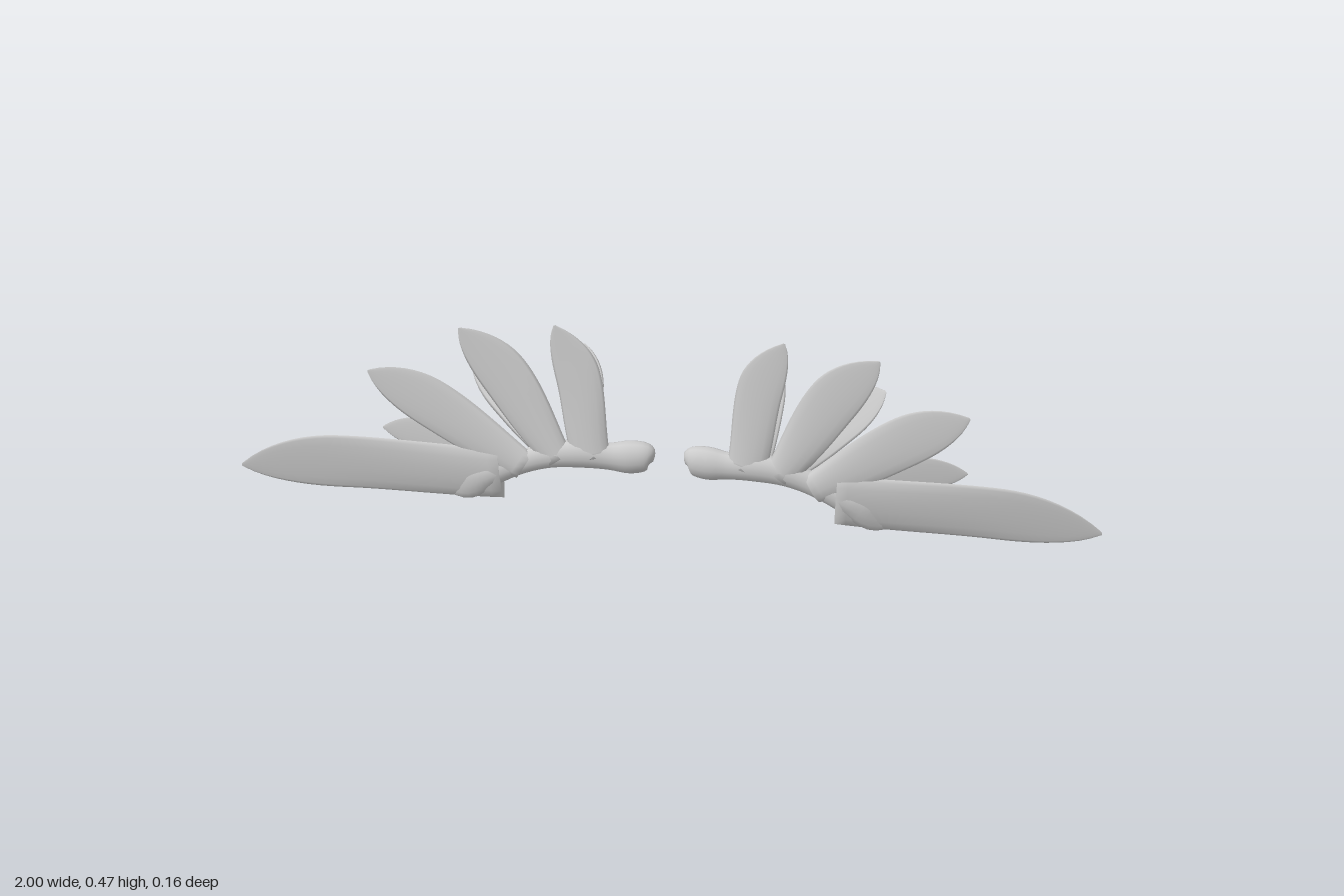
import * as THREE from 'three';

const material = new THREE.MeshStandardMaterial({ color: 0xcccccc });

// Lofts lens sections. section(t) gives centre x, y, half-width vector x, y and half thickness;
// depth(x, y) gives the surface the part lies on, side mirrors it.
function loft(name, side, section, depth, rings = 24, sides = 14) {
  const point = (x, y) => new THREE.Vector3(side * x, y, depth(x, y));
  const centre = (t) => {
    const [x, y] = section(THREE.MathUtils.clamp(t, 0, 1));
    return point(x, y);
  };
  const pos = [], index = [];
  for (let i = 0; i <= rings; i++) {
    const t = i / rings;
    const [x, y, wx, wy, thick] = section(t);
    const c = centre(t);
    const u = point(x + wx, y + wy).sub(c);
    const along = centre(t + 0.01).sub(centre(t - 0.01));
    const n = along.cross(u).normalize().multiplyScalar(thick);
    for (let j = 0; j < sides; j++) {
      const a = (j / sides) * Math.PI * 2;
      const p = c.clone().addScaledVector(u, Math.cos(a)).addScaledVector(n, Math.sin(a));
      pos.push(p.x, p.y, p.z);
    }
  }
  for (let i = 0; i < rings; i++) {
    for (let j = 0; j < sides; j++) {
      const a = i * sides + j, b = i * sides + (j + 1) % sides;
      index.push(a, b, a + sides, b, b + sides, a + sides);
    }
  }
  // end caps
  const last = rings * sides;
  for (let j = 1; j < sides - 1; j++) {
    index.push(0, j + 1, j, last, last + j, last + j + 1);
  }
  const geo = new THREE.BufferGeometry();
  geo.setAttribute('position', new THREE.Float32BufferAttribute(pos, 3));
  geo.setIndex(index);
  geo.computeVertexNormals();
  const mesh = new THREE.Mesh(geo, material);
  mesh.name = name;
  return mesh;
}

// Feather outline: widens from the root, rounds off at the tip, bows to its upper side
function featherSection({ root, tip, half, base, bow, thick }) {
  const dx = tip[0] - root[0], dy = tip[1] - root[1], length = Math.hypot(dx, dy);
  const px = -dy / length, py = dx / length;
  return (t) => {
    const grow = base + (1 - base) * Math.sin(Math.min(1, t / 0.6) * Math.PI / 2);
    const taper = (1 - Math.max(0, (t - 0.6) / 0.4) ** 2.2) ** 0.8;
    const w = half * Math.max(0.05, grow * taper);
    const b = bow * Math.sin(Math.PI * t ** 1.5);
    return [root[0] + dx * t + px * b, root[1] + dy * t + py * b,
      px * w, py * w, 0.001 + thick * (1 - t) ** 1.2];
  };
}

// Arm path: x, y, radius, from the rounded shoulder to the bent wrist
const armPath = new THREE.CatmullRomCurve3([
  [0.036, 0.147, 0.008], [0.05, 0.151, 0.032], [0.09, 0.148, 0.04], [0.14, 0.147, 0.033],
  [0.2, 0.15, 0.035], [0.273, 0.14, 0.031], [0.34, 0.117, 0.029], [0.42, 0.083, 0.038],
  [0.475, 0.054, 0.046], [0.53, 0.045, 0.022],
].map((p) => new THREE.Vector3(...p)));

function armSection(t) {
  const { x, y, z: radius } = armPath.getPoint(t);
  const d = armPath.getTangent(t);
  const length = Math.hypot(d.x, d.y);
  const flatten = 0.7 * Math.min(1, (1 - t) * 4 + 0.1);
  return [x, y, -d.y / length * radius, d.x / length * radius, radius * flatten];
}
const armDepth = (x) => 0.044 + 0.012 * Math.sin(Math.min(1, x / 0.5) * Math.PI);

const frontDepth = (x, y) => 0.061 - 0.03 * (y - 0.14);

const feathers = [
  // front row
  { name: 'primaryFeather', root: [0.39, 0.085], tip: [1, 0.033], half: 0.07, base: 0.95,
    bow: 0.018, thick: 0.017, depth: (x, y) => 0.054 - 0.055 * (x - 0.45) + 0.15 * (y - 0.08) },
  { name: 'outerFeather', root: [0.335, 0.11], tip: [0.7, 0.316], half: 0.061, base: 0.6,
    bow: 0.013, thick: 0.017, depth: frontDepth },
  { name: 'middleFeather', root: [0.255, 0.135], tip: [0.489, 0.44], half: 0.061, base: 0.55,
    bow: 0.02, thick: 0.017, depth: frontDepth },
  { name: 'innerFeather', root: [0.18, 0.145], tip: [0.267, 0.466], half: 0.053, base: 0.85,
    bow: 0.022, thick: 0.017, depth: frontDepth },
  // back row, swept backwards
  { name: 'backOuterFeather', root: [0.35, 0.115], tip: [0.68, 0.137], half: 0.044, base: 0.65,
    bow: 0.007, thick: 0.01, depth: (x) => 0.04 - 0.203 * (x - 0.36) },
  { name: 'backMiddleFeather', root: [0.27, 0.145], tip: [0.481, 0.306], half: 0.05, base: 0.6,
    bow: 0.012, thick: 0.01, depth: (x, y) => 0.04 - 0.67 * (y - 0.14) },
  { name: 'backInnerFeather', root: [0.2, 0.145], tip: [0.222, 0.364], half: 0.043, base: 0.75,
    bow: 0.003, thick: 0.01, depth: (x, y) => 0.04 - 0.575 * (y - 0.16) },
];

export function createModel() {
  const model = new THREE.Group();
  model.name = 'wings';
  for (const side of [1, -1]) {
    const wing = new THREE.Group();
    wing.name = side > 0 ? 'leftWing' : 'rightWing';
    wing.add(loft('wingArm', side, armSection, armDepth, 36));
    for (const feather of feathers) {
      wing.add(loft(feather.name, side, featherSection(feather), feather.depth));
    }
    model.add(wing);
  }
  return model;
}
